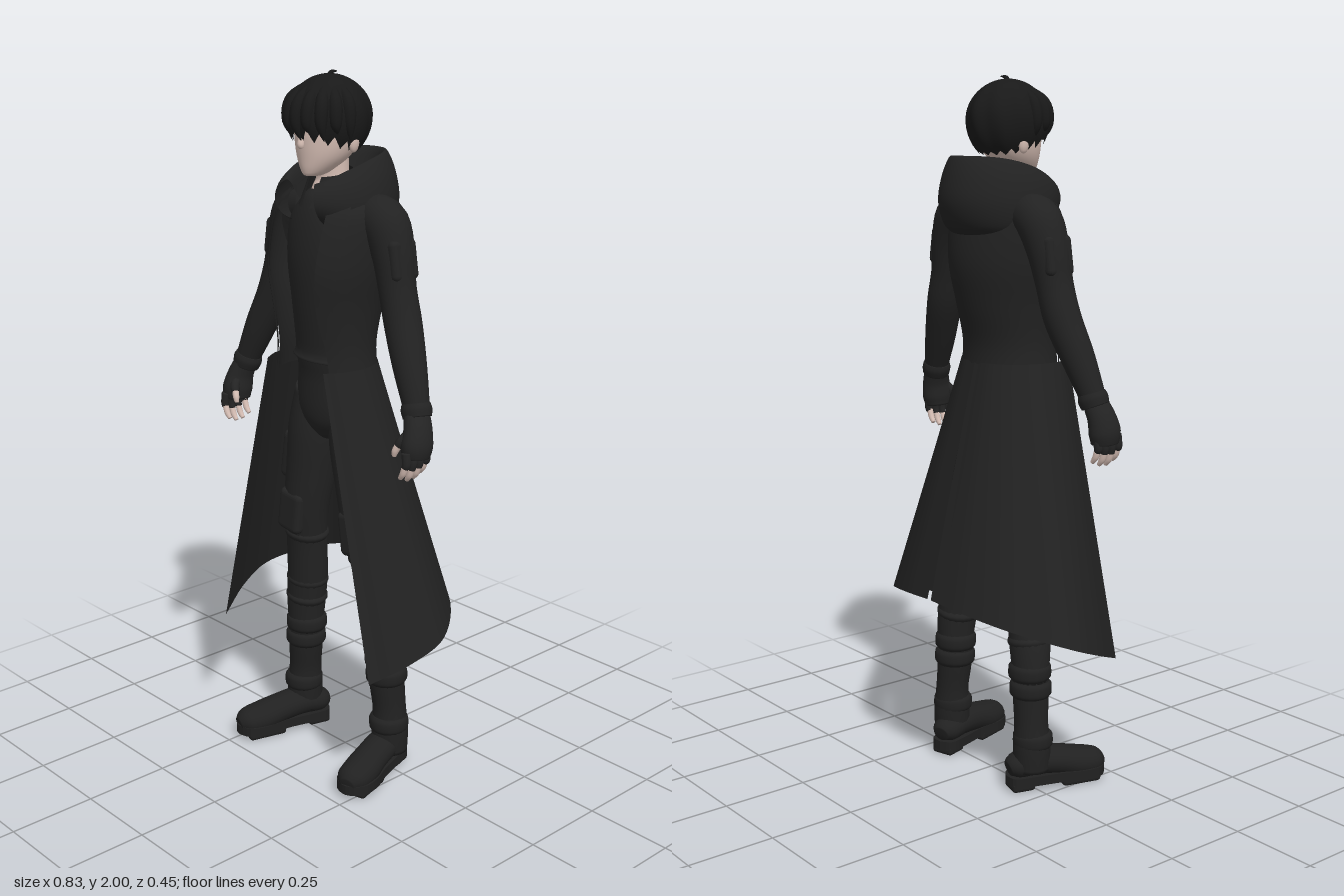
import * as THREE from 'three';
import { mergeVertices } from 'three/addons/utils/BufferGeometryUtils.js';
import { RoundedBoxGeometry } from 'three/addons/geometries/RoundedBoxGeometry.js';

const V = (x, y, z) => new THREE.Vector3(x, y, z);
const paint = (name, color, side = THREE.FrontSide) => Object.assign(new THREE.MeshStandardMaterial({ color, side }), { name });

// Smooth surface from a rule fn(u, v) -> Vector3
function surface(fn, nu, nv) {
  const pos = [], idx = [];
  for (let j = 0; j <= nv; j++) for (let i = 0; i <= nu; i++) pos.push(...fn(i / nu, j / nv).toArray());
  for (let j = 0; j < nv; j++) for (let i = 0; i < nu; i++) {
    const a = j * (nu + 1) + i, b = a + 1, c = a + nu + 1, d = c + 1;
    idx.push(a, b, c, b, d, c);
  }
  let g = new THREE.BufferGeometry();
  g.setAttribute('position', new THREE.Float32BufferAttribute(pos, 3));
  g.setIndex(idx);
  g = mergeVertices(g, 1e-5);
  g.computeVertexNormals();
  return g;
}

// Smooth interpolation between rows of numbers
function rowAt(rows, t) {
  const f = t * (rows.length - 1), i = Math.min(Math.floor(f), rows.length - 2), k = f - i;
  const at = n => rows[Math.max(0, Math.min(rows.length - 1, n))];
  return rows[0].map((_, c) => {
    const [p, q, r, s] = [at(i - 1)[c], at(i)[c], at(i + 1)[c], at(i + 2)[c]];
    return q + 0.5 * k * (r - p + k * (2 * p - 5 * q + 4 * r - s + k * (3 * (q - r) + s - p)));
  });
}

// Closed tube through [x, y, z, radius] with rounded ends; squash flattens it along the second axis
function limb(rows, { ref = V(0, 0, 1), squash = 1, nu = 18, nv = rows.length * 4 } = {}) {
  return surface((u, v) => {
    const j = Math.round(v * (nv + 2)) - 1, t = Math.max(0, Math.min(nv, j)) / nv;
    const [x, y, z, r] = rowAt(rows, t);
    const a = rowAt(rows, Math.max(0, t - 0.01)), b = rowAt(rows, Math.min(1, t + 0.01));
    const dir = V(b[0] - a[0], b[1] - a[1], b[2] - a[2]).normalize();
    const e1 = ref.clone().cross(dir).normalize(), e2 = dir.clone().cross(e1);
    const rad = j < 0 || j > nv ? 0 : r, ang = u * Math.PI * 2;
    return V(x, y, z).addScaledVector(e1, rad * Math.cos(ang)).addScaledVector(e2, rad * squash * Math.sin(ang));
  }, nu, nv + 2);
}

// Horizontal ring point; angle 0 is the back. Row: [y, rx, zc, rz]
const ring = ([y, rx, zc, rz], a) => V(rx * Math.sin(a), y, zc - rz * Math.cos(a));
const body = (rows, nu = 32) => surface((u, v) => ring(rowAt(rows, v), (u * 2 - 1) * Math.PI), nu, rows.length * 4);

function mirrored(g) {
  const m = g.clone().scale(-1, 1, 1);
  if (!m.index) m.setIndex([...Array(m.attributes.position.count).keys()]);
  const ix = m.index.array;
  for (let i = 0; i < ix.length; i += 3) [ix[i], ix[i + 1]] = [ix[i + 1], ix[i]];
  m.computeVertexNormals();
  return m;
}

export function createModel() {
  const model = new THREE.Group();
  model.name = 'coatedFigure';
  const coat = paint('coat black', 0x222222, THREE.DoubleSide);
  const cloth = paint('cloth black', 0x242424);
  const leather = paint('boot black', 0x212121);
  const hairMat = paint('hair black', 0x191919, THREE.DoubleSide);
  const skin = paint('skin', 0xd8c0b6);
  const add = (name, g, mat) => {
    const m = new THREE.Mesh(g, mat);
    m.name = name;
    model.add(m);
  };
  const pair = (name, g, mat) => { add(name + 'Left', g, mat); add(name + 'Right', mirrored(g), mat); };

  // Head, neck and ears
  add('head', body([[1.93, 0.03, 0.06, 0.04], [1.9, 0.075, 0.06, 0.09], [1.85, 0.083, 0.06, 0.096], [1.81, 0.078, 0.065, 0.09],
    [1.775, 0.064, 0.078, 0.074], [1.745, 0.04, 0.098, 0.05], [1.73, 0.02, 0.112, 0.028], [1.728, 0, 0.112, 0]]), skin);
  add('nose', limb([[0, 1.845, 0.148, 0.007], [0, 1.815, 0.157, 0.01], [0, 1.806, 0.154, 0.008]]), skin);
  add('neck', limb([[0, 1.8, 0.05, 0.046], [0, 1.72, 0.045, 0.045], [0, 1.68, 0.05, 0.055], [0, 1.62, 0.055, 0.07]]), skin);
  pair('ear', new THREE.SphereGeometry(1, 12, 8).scale(0.012, 0.03, 0.018).translate(0.082, 1.82, 0.045), skin);

  // Hair cap with a jagged lower edge
  add('hair', surface((u, v) => {
    const a = (u * 2 - 1) * Math.PI, front = (1 - Math.cos(a)) / 2;
    const tooth = Math.abs(((u * 18) % 1) - 0.5) * 2;
    const low = 1.785 + 0.04 * front ** 2 + 0.035 * tooth * (0.25 + 0.75 * front);
    const th = v * Math.acos((low - 1.88) / 0.125);
    const puff = 1 + 0.025 * Math.sin(a * 9 + v * 3) * Math.sin(th);
    return V(0.105 * puff * Math.sin(th) * Math.sin(a),
      1.88 + (th < Math.PI / 2 ? 0.11 : 0.125) * Math.cos(th),
      0.058 - 0.12 * puff * Math.sin(th) * Math.cos(a));
  }, 108, 20), hairMat);
  for (let i = 0; i < 9; i++) {
    const a = Math.PI + (i - 4) * 0.36, s = Math.sin(a), c = -Math.cos(a), low = 1.825 + (i % 2) * 0.018;
    add('fringeLock', limb([[s * 0.045, 1.97, 0.06 + c * 0.05, 0.006], [s * 0.09, 1.925, 0.06 + c * 0.1, 0.018],
      [s * 0.1, 1.87, 0.06 + c * 0.113, 0.016], [s * 0.094 + 0.008, low, 0.06 + c * 0.103, 0.001]], { nu: 10 }), hairMat);
  }
  add('hairTuft', limb([[0, 1.975, 0.06, 0.008], [0.006, 1.993, 0.055, 0.006], [0.018, 1.996, 0.045, 0.001]], { nu: 8 }), hairMat);

  // Shirt with a raised, slightly open collar
  add('shirt', body([[1.69, 0.055, 0.05, 0.055], [1.665, 0.085, 0.05, 0.075], [1.6, 0.135, 0.05, 0.092], [1.5, 0.145, 0.05, 0.1],
    [1.38, 0.13, 0.05, 0.093], [1.25, 0.12, 0.05, 0.08], [1.22, 0.122, 0.05, 0.082], [1.22, 0, 0.05, 0]]), cloth);
  pair('shirtCollar', surface((u, v) => {
    const a = u * 2.75 + v * u * 0.2;
    return ring([1.745 - 0.02 * u - v * 0.08, 0.058 + v * 0.02, 0.05, 0.06 + v * 0.035], a);
  }, 18, 4), coat);

  // Trousers
  add('hips', body([[1.25, 0, 0.045, 0], [1.25, 0.112, 0.045, 0.076], [1.17, 0.125, 0.035, 0.085], [1.08, 0.135, 0.03, 0.09],
    [1.03, 0.1, 0.03, 0.08], [0.99, 0.03, 0.03, 0.05], [0.985, 0, 0.03, 0]]), cloth);
  pair('trouserLeg', limb([[0.07, 1.12, 0.03, 0.07], [0.086, 1, 0.03, 0.082], [0.105, 0.87, 0.035, 0.074], [0.125, 0.75, 0.038, 0.066],
    [0.14, 0.64, 0.025, 0.06], [0.155, 0.52, 0.01, 0.06], [0.17, 0.42, 0.003, 0.058], [0.178, 0.32, 0, 0.05]], { nu: 22 }), cloth);
  pair('thighPocket', new RoundedBoxGeometry(0.06, 0.15, 0.09, 3, 0.02).rotateZ(0.15).translate(0.158, 0.9, 0.04), cloth);
  pair('kneePad', new RoundedBoxGeometry(0.09, 0.13, 0.04, 3, 0.018).rotateZ(0.14).translate(0.13, 0.74, 0.09), cloth);
  const folds = [[0.137, 0.66, 0.027, 0.066], [0.158, 0.5, 0.008, 0.063], [0.166, 0.44, 0.004, 0.063]];
  for (const [x, y, z, r] of folds)
    pair('trouserFold', limb([[x - 0.003, y + 0.022, z, r - 0.012], [x, y, z, r], [x + 0.003, y - 0.022, z, r - 0.012]]), cloth);

  // Boots: shaft, cuffs, upper and a two-piece sole
  pair('bootShaft', limb([[0.172, 0.37, 0.002, 0.054], [0.178, 0.28, 0, 0.052], [0.185, 0.2, -0.004, 0.049],
    [0.188, 0.13, -0.004, 0.054], [0.188, 0.06, -0.004, 0.052]]), leather);
  for (const [x, y, r] of [[0.173, 0.35, 0.061], [0.177, 0.3, 0.06], [0.188, 0.15, 0.057]])
    pair('bootCuff', limb([[x, y + 0.024, 0, r - 0.008], [x, y + 0.012, 0, r], [x, y - 0.012, 0, r], [x, y - 0.024, 0, r - 0.008]]), leather);
  const place = g => g.rotateY(0.28).translate(0.18, 0, 0);
  pair('bootUpper', place(limb([[0, 0.065, -0.07, 0.025], [0, 0.072, -0.045, 0.043], [0, 0.08, 0.02, 0.049], [0, 0.07, 0.09, 0.05],
    [0, 0.055, 0.15, 0.053], [0, 0.05, 0.2, 0.045], [0, 0.045, 0.225, 0.022]], { ref: V(0, 1, 0), squash: 0.85 })), leather);
  const outline = new THREE.Shape(new THREE.SplineCurve([[0, -0.076], [0.036, -0.06], [0.042, 0], [0.046, 0.08], [0.056, 0.15], [0.045, 0.205],
    [0, 0.23], [-0.045, 0.205], [-0.054, 0.15], [-0.042, 0.08], [-0.042, 0], [-0.036, -0.06], [0, -0.076]].map(p => new THREE.Vector2(...p))).getPoints(48));
  const plate = (shape, depth, y) => new THREE.ExtrudeGeometry(shape, { depth, bevelEnabled: false }).rotateX(Math.PI / 2).translate(0, y, 0);
  pair('bootSole', place(plate(outline, 0.028, 0.045)), leather);
  for (const [name, z, d, w] of [['bootHeel', -0.033, 0.07, 0.07], ['bootTread', 0.145, 0.12, 0.09]])
    pair(name, place(new RoundedBoxGeometry(w, 0.03, d, 2, 0.01).translate(0, 0.015, z)), leather);

  // Coat bodice, open at the front; last value of a row is the angle of the front edge
  const bodice = [[1.72, 0.075, 0.03, 0.08, 2.5], [1.685, 0.13, 0.035, 0.1, 2.5], [1.63, 0.172, 0.045, 0.135, 2.5], [1.5, 0.172, 0.055, 0.16, 2.52],
    [1.38, 0.152, 0.06, 0.145, 2.5], [1.27, 0.143, 0.065, 0.125, 2.35], [1.18, 0.152, 0.063, 0.127, 2.3]];
  add('coatBodice', surface((u, v) => {
    const row = rowAt(bodice, v);
    return ring(row, (u * 2 - 1) * row[4]);
  }, 40, 28), coat);
  pair('lapel', surface((u, v) => {
    const [y, rx, zc, rz, edge] = rowAt(bodice, 0.17 + v * 0.8);
    return ring([y, rx + 0.006, zc, rz + 0.006], edge + 0.05 - (1 - u) * 0.45 * (1 - v * 0.55));
  }, 6, 20), coat);

  // Flared coat skirt with a slit at the back
  const waist = new THREE.CatmullRomCurve3([V(0, 1.22, -0.06), V(0.06, 1.22, -0.052), V(0.12, 1.22, -0.01), V(0.15, 1.22, 0.06),
    V(0.145, 1.22, 0.13), V(0.115, 1.22, 0.185)]);
  const hem = new THREE.CatmullRomCurve3([V(0.008, 0.56, -0.225), V(0.13, 0.55, -0.213), V(0.28, 0.52, -0.15), V(0.38, 0.47, -0.02),
    V(0.37, 0.43, 0.08), V(0.315, 0.38, 0.2)]);
  pair('coatSkirt', surface((u, v) => {
    const p = waist.getPoint(u).lerp(hem.getPoint(u), v);
    p.x -= 0.008 * (1 - u) ** 8 * v * (1 - v * v);
    return p;
  }, 36, 20), coat);

  // Lowered hood and standing collar. Row: [back y, rx, zc, rz, front y]
  const hood = [[1.65, 0.075, 0.03, 0.09, 1.64], [1.73, 0.085, 0.03, 0.12, 1.665], [1.775, 0.096, 0.03, 0.138, 1.695], [1.782, 0.112, 0.03, 0.153, 1.705],
    [1.73, 0.14, 0.03, 0.172, 1.69], [1.66, 0.154, 0.028, 0.178, 1.66], [1.595, 0.148, 0.028, 0.155, 1.63], [1.565, 0.125, 0.03, 0.115, 1.61]];
  add('hood', surface((u, v) => {
    const [yb, rx, zc, rz, yf] = rowAt(hood, v), a = (u * 2 - 1) * 2.6;
    return ring([yb + (yf - yb) * ((1 - Math.cos(a)) / 2) ** 2, rx, zc, rz], a);
  }, 44, 32), coat);

  // Sleeves, shoulder patches and cuffs
  pair('sleeve', limb([[0.11, 1.63, 0.02, 0.055], [0.175, 1.615, 0.02, 0.064], [0.212, 1.54, 0.023, 0.058], [0.234, 1.45, 0.028, 0.051],
    [0.262, 1.36, 0.033, 0.051], [0.305, 1.26, 0.05, 0.046], [0.343, 1.17, 0.064, 0.037], [0.355, 1.135, 0.07, 0.033]], { nu: 22 }), coat);
  pair('sleevePatch', new RoundedBoxGeometry(0.05, 0.11, 0.09, 3, 0.016).rotateZ(0.16).translate(0.242, 1.525, 0.025), coat);
  pair('sleeveCuff', limb([[0.345, 1.165, 0.065, 0.038], [0.35, 1.15, 0.067, 0.042], [0.357, 1.13, 0.07, 0.039]]), coat);

  // Fingerless gloves and curled fingers
  pair('glove', limb([[0.355, 1.14, 0.07, 0.03], [0.37, 1.1, 0.08, 0.034], [0.375, 1.06, 0.088, 0.038], [0.374, 1.03, 0.09, 0.033]], { squash: 1.25 }), cloth);
  for (let i = 0; i < 4; i++) {
    const z = 0.058 + i * 0.024, drop = [0.012, 0.002, 0, 0.01][i];
    pair('gloveFinger', limb([[0.378, 1.05, z, 0.013], [0.381, 1.02, z + 0.002, 0.012], [0.377, 1.0 + drop, z + 0.003, 0.0105]], { nu: 10 }), cloth);
    pair('fingertip', limb([[0.378, 1.005 + drop, z + 0.003, 0.009], [0.37, 0.982 + drop, z + 0.003, 0.009], [0.358, 0.966 + drop, z + 0.002, 0.006]], { nu: 10 }), skin);
  }
  pair('gloveThumb', limb([[0.365, 1.1, 0.095, 0.016], [0.35, 1.075, 0.118, 0.014], [0.341, 1.06, 0.124, 0.012]], { nu: 10 }), cloth);
  pair('thumbTip', limb([[0.342, 1.062, 0.123, 0.01], [0.334, 1.045, 0.127, 0.0095], [0.33, 1.03, 0.128, 0.006]], { nu: 10 }), skin);
  return model;
}
